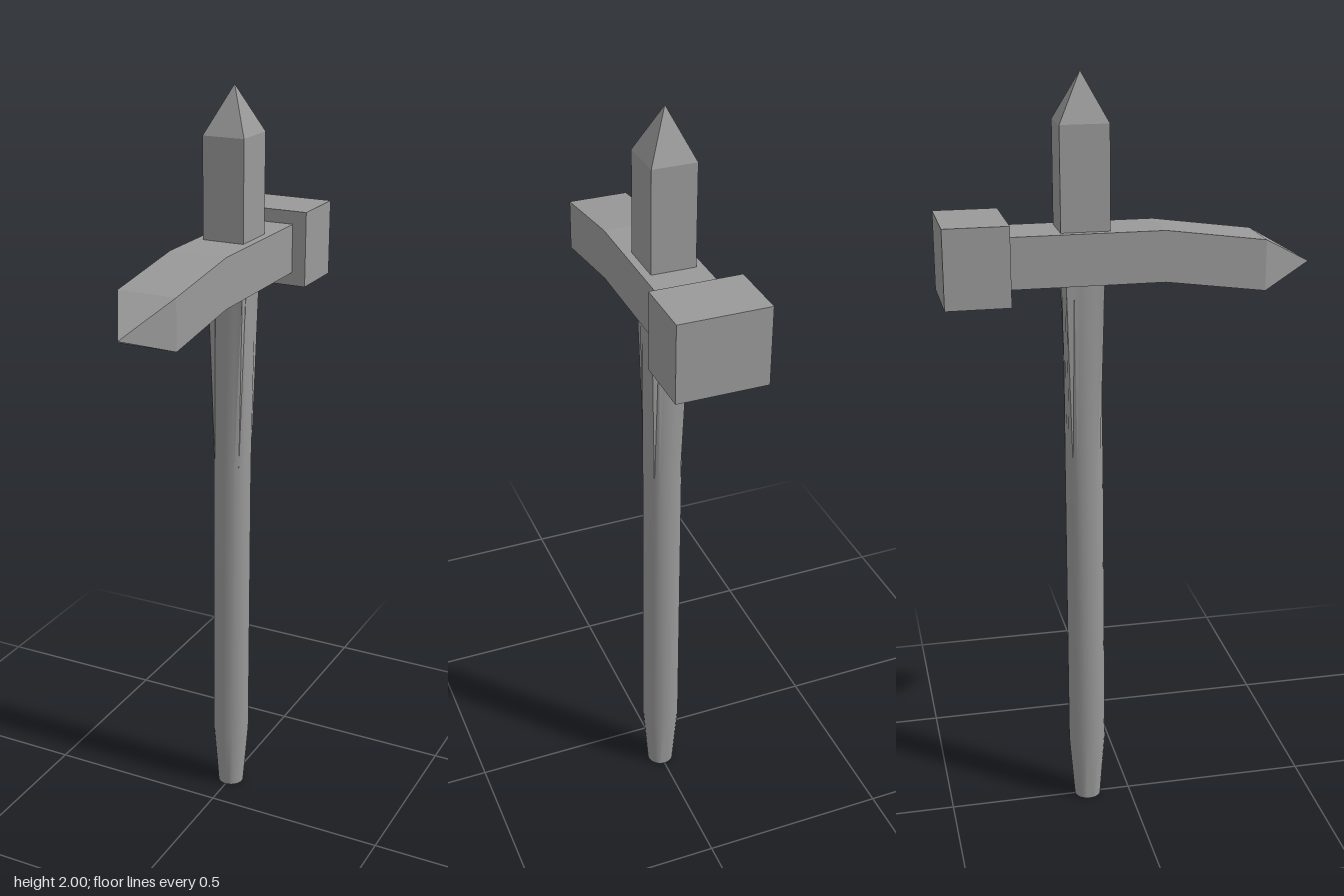
import * as THREE from 'three';
import { toCreasedNormals } from 'three/addons/utils/BufferGeometryUtils.js';

const AXIS_Z = -0.118; // the handle and spike share this vertical axis

// Square pyramid, base on y = 0, apex shifted along z by lean
function pyramid(width, height, depth, lean = 0) {
  const g = new THREE.ConeGeometry(Math.SQRT1_2, 1, 4, 1, true).toNonIndexed();
  g.rotateY(Math.PI / 4).translate(0, 0.5, 0).scale(width, height, depth);
  const p = g.attributes.position;
  for (let i = 0; i < p.count; i++) p.setZ(i, p.getZ(i) + lean * p.getY(i) / height);
  g.computeVertexNormals();
  return g;
}

// Round handle that blends into a square section below the head
function handleGeometry() {
  const levels = [[0, 0.036], [0.18, 0.05], [1.0, 0.05], [1.5, 0.049]];
  const g = new THREE.CylinderGeometry(1, 1, 3, 24, 3);
  g.translate(0, 1.5, 0);
  const p = g.attributes.position;
  for (let i = 0; i < p.count; i++) {
    const x = p.getX(i), z = p.getZ(i);
    const level = Math.round(p.getY(i));
    const [y, r] = levels[level];
    const reach = Math.max(Math.abs(x), Math.abs(z));
    const k = level === 3 && reach > 0 ? r / reach : r;
    p.setXYZ(i, x * k, y, z * k);
  }
  return toCreasedNormals(g, 0.6);
}

export function createModel() {
  const group = new THREE.Group();
  const grey = new THREE.MeshStandardMaterial({ color: 0x999999 });
  grey.name = 'grey';

  const add = (name, geometry, x, y, z) => {
    const mesh = new THREE.Mesh(geometry, grey);
    mesh.name = name;
    mesh.position.set(x, y, z);
    group.add(mesh);
    return mesh;
  };

  add('handle', handleGeometry(), 0, 0, AXIS_Z);

  // Bent head bar, drawn in side profile (z, y) and extruded across x
  const profile = new THREE.Shape([
    [-0.32, 1.49], [0.08, 1.49], [0.338, 1.455],
    [0.338, 1.585], [0.08, 1.62], [-0.32, 1.62],
  ].map(([z, y]) => new THREE.Vector2(-z, y)));
  const bar = new THREE.ExtrudeGeometry(profile, { depth: 0.154, bevelEnabled: false });
  bar.translate(0, 0, -0.077).rotateY(Math.PI / 2);
  add('headBar', bar, 0, 0, 0);

  // Pointed beak at the front of the bar
  const beak = pyramid(0.154, 0.137, 0.13, 0.012);
  beak.rotateX(Math.PI / 2);
  add('beak', beak, 0, 1.52, 0.338);

  // Hammer block at the back
  add('hammerBlock', new THREE.BoxGeometry(0.23, 0.2, 0.163), 0, 1.555, -0.3935);

  // Top spike
  add('spikeShaft', new THREE.BoxGeometry(0.113, 0.28, 0.124), 0, 1.74, AXIS_Z);
  add('spikePoint', pyramid(0.113, 0.12, 0.124), 0, 1.88, AXIS_Z);

  return group;
}
